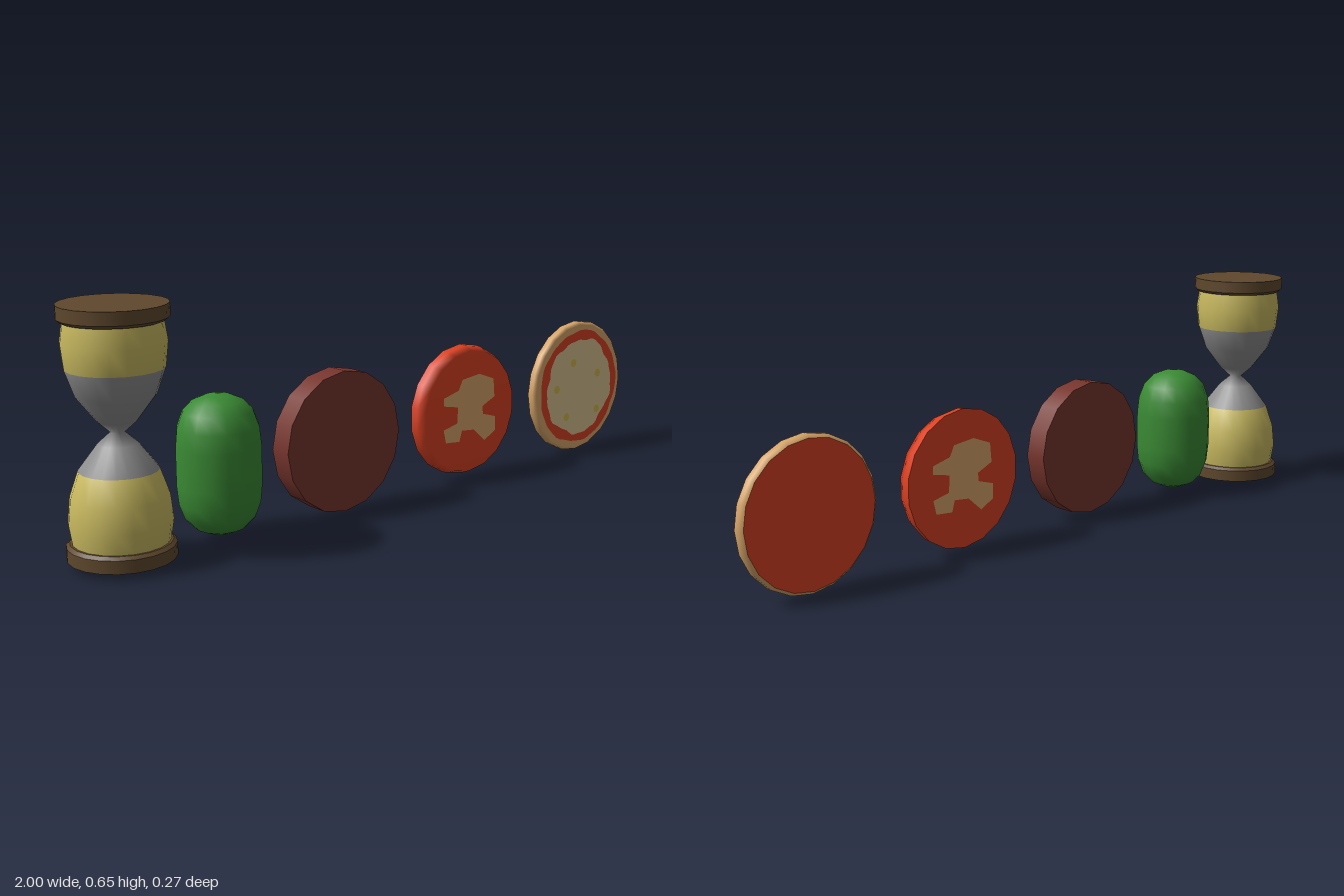
import * as THREE from 'three';

const mat = (name, color, side = THREE.FrontSide) => {
  const m = new THREE.MeshStandardMaterial({ color, side });
  m.name = name;
  return m;
};

export function createModel() {
  const wood = mat('dark wood', 0x5f482d);
  const sand = mat('sand', 0xc9ba60);
  const glass = mat('grey glass', 0x8e8e8e);
  const green = mat('green', 0x3a8a34);
  const maroon = mat('maroon', 0x77352d);
  const red = mat('tomato red', 0xdb4122);
  const tan = mat('tan', 0xd9a76a);
  const cream = mat('cream', 0xdac592);
  const yellow = mat('yellow', 0xd2b94a);

  const model = new THREE.Group();
  const add = (parent, name, geometry, material, x = 0, y = 0, z = 0) => {
    const mesh = new THREE.Mesh(geometry, material);
    mesh.name = name;
    mesh.position.set(x, y, z);
    parent.add(mesh);
    return mesh;
  };
  const group = (name, x, y, z) => {
    const g = new THREE.Group();
    g.name = name;
    g.position.set(x, y, z);
    model.add(g);
    return g;
  };
  const lathe = (points, sides) =>
    new THREE.LatheGeometry(points.map(([r, h]) => new THREE.Vector2(r, h)), sides);
  // Lathe whose axis points to the front
  const faceOn = (points, sides) => lathe(points, sides).rotateX(Math.PI / 2);
  const blob = (points) =>
    new THREE.ShapeGeometry(new THREE.Shape(points.map(([x, y]) => new THREE.Vector2(x, y))));
  // Disc outline with an irregular edge
  const wavyDisc = (radius, wobble, phase) => {
    const pts = [];
    for (let i = 0; i < 64; i++) {
      const a = (i / 64) * Math.PI * 2;
      const w = Math.sin(5 * a + phase) + 0.7 * Math.sin(9 * a + 2 * phase) + 0.5 * Math.sin(17 * a);
      const r = radius + wobble * w;
      pts.push([Math.cos(a) * r, Math.sin(a) * r]);
    }
    return blob(pts);
  };

  // Hourglass: one smooth bulb profile, coloured in bands
  const hourglass = group('hourglass', -0.863, 0, 0);
  const half = [[0.122, 0.06], [0.13, 0.112], [0.123, 0.176], [0.1, 0.242], [0.05, 0.308]];
  const profile = [...half, [0.018, 0.3365], ...half.map(([r, y]) => [r, 0.673 - y]).reverse()];
  const sides = 20;
  const bulbs = lathe(profile, sides);
  const bands = profile.length - 1;
  bulbs.clearGroups();
  for (let s = 0; s < sides; s++) {
    for (let b = 0; b < bands; b++) {
      bulbs.addGroup((s * bands + b) * 6, 6, b < 3 || b >= 8 ? 0 : 1);
    }
  }
  add(hourglass, 'bulbs', bulbs, [sand, glass]);
  for (const top of [false, true]) {
    const cap = add(hourglass, top ? 'topCap' : 'bottomCap',
      new THREE.CylinderGeometry(0.137, 0.137, 0.034, sides), wood, 0, top ? 0.638 : 0.035);
    const bevel = new THREE.CylinderGeometry(0.128, 0.137, 0.008, sides);
    if (top) bevel.rotateX(Math.PI);
    add(cap, 'capBevel', bevel, wood, 0, top ? -0.021 : 0.021);
  }

  // Rounded upright pod
  const podHalf = [[0, 0.186], [0.033, 0.182], [0.066, 0.168], [0.092, 0.141], [0.107, 0.1], [0.112, 0.05]];
  const podProfile = [...podHalf.map(([r, y]) => [r, -y]), ...[...podHalf].reverse()];
  add(model, 'greenPod', lathe(podProfile, 16), green, -0.578, 0.205, 0.0175);

  // Plain thick disc
  add(model, 'maroonDisc',
    new THREE.CylinderGeometry(0.197, 0.197, 0.066, 16).rotateX(Math.PI / 2), maroon, -0.203, 0.208, 0.045);

  // Red tapered disc with a tan patch on both faces
  const redDisc = group('redDisc', 0.295, 0.208, 0);
  add(redDisc, 'redBody', faceOn([[0.195, 0.012], [0.193, 0.034], [0.182, 0.06], [0, 0.06]], 18), red);
  add(redDisc, 'redBack', new THREE.CircleGeometry(0.195, 18).rotateY(Math.PI).rotateZ(Math.PI / 2), red, 0, 0, 0.012);
  const patch = blob([
    [-0.11, 0.055], [-0.05, 0.07], [-0.035, 0.1], [0.035, 0.108], [0.095, 0.085], [0.1, 0.03],
    [0.05, 0.008], [0.052, -0.016], [0.105, -0.032], [0.105, -0.075], [0.06, -0.098], [0.015, -0.058],
    [-0.035, -0.053], [-0.045, -0.085], [-0.1, -0.08], [-0.11, -0.04], [-0.055, -0.028], [-0.052, 0.02],
    [-0.11, 0.032],
  ]);
  add(redDisc, 'frontPatch', patch, tan, 0, 0, 0.062);
  add(redDisc, 'backPatch', patch, tan, 0, 0, 0.01).rotation.y = Math.PI;

  // Flat round pie: crust, red sauce, cream topping, yellow spots
  const pie = group('pie', 0.79, 0.207, 0);
  add(pie, 'crust', faceOn([[0.198, 0.018], [0.207, 0.026], [0.207, 0.044], [0.198, 0.052], [0, 0.052]], 20), tan);
  add(pie, 'pieBack', new THREE.CircleGeometry(0.198, 20).rotateY(Math.PI).rotateZ(Math.PI / 2), red, 0, 0, 0.018);
  add(pie, 'sauce', wavyDisc(0.179, 0.002, 1), red, 0, 0, 0.0535);
  add(pie, 'topping', wavyDisc(0.152, 0.004, 2.3), cream, 0, 0, 0.055);
  for (const [x, y] of [[-0.032, 0.08], [0.086, 0.032], [-0.107, 0.005], [-0.059, -0.091], [0.086, -0.086]]) {
    add(pie, 'spot', new THREE.CircleGeometry(0.014, 6), yellow, x, y, 0.0565);
  }
  return model;
}
